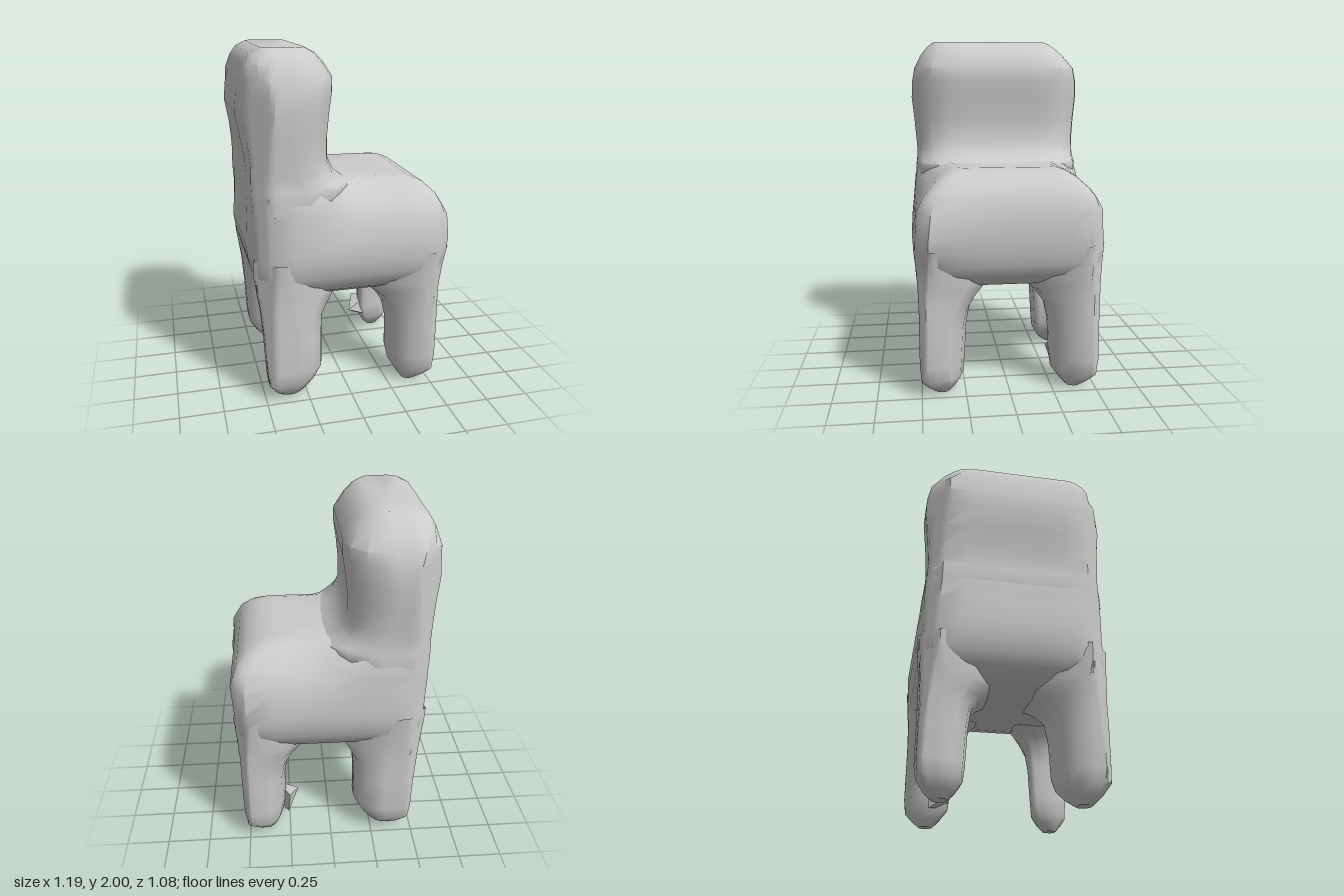
import * as THREE from 'three';
import { toCreasedNormals } from 'three/addons/utils/BufferGeometryUtils.js';

const material = new THREE.MeshStandardMaterial({ color: 0xcccccc, side: THREE.DoubleSide });
const ARC = 3, SIDE = 6;

// Distance |x| + |z| at which each vertical corner is cut diagonally
const cornerLimit = (x, z) => (x > 0 ? 1 : z > 0 ? 0.955 : 0.975);

// Rectangle with rounded corners, walking from +x towards +z.
// radii: one per corner (+x+z, -x+z, -x-z, +x-z); taper narrows z at the front of the seat.
function ringPoints({ y, x: [x0, x1], z: [z0, z1], radii, taper = 1 }) {
  const corners = radii.map((r, q) => {
    const cx = q === 0 || q === 3 ? x1 - r : x0 + r;
    const cz = q < 2 ? z1 - r : z0 + r;
    const pts = [];
    for (let i = 0; i <= ARC; i++) {
      const a = (q + i / ARC) * Math.PI / 2;
      pts.push(new THREE.Vector3(cx + r * Math.cos(a), y, cz + r * Math.sin(a)));
    }
    return pts;
  });
  const out = [];
  corners.forEach((pts, q) => {
    out.push(...pts);
    const next = corners[(q + 1) % 4][0];
    for (let i = 1; i < SIDE; i++) out.push(pts[ARC].clone().lerp(next, i / SIDE));
  });
  for (const p of out) {
    p.z *= THREE.MathUtils.lerp(1, taper, THREE.MathUtils.smoothstep(p.x, -0.2, 0.06));
    const over = Math.max(0, Math.abs(p.x) + Math.abs(p.z) - cornerLimit(p.x, p.z)) / 2;
    p.x -= Math.sign(p.x) * over;
    p.z -= Math.sign(p.z) * over;
    // One front corner of the seat is pulled out a little
    if (p.x > 0.3) p.x += 0.04 * Math.exp(-40 * ((y - 0.92) ** 2 + (p.z - 0.42) ** 2));
  }
  return out;
}

// Skin a stack of rings from bottom to top; caps lists the ends to close
function loft(name, rings, caps) {
  const loops = rings.map(ringPoints), n = loops[0].length;
  const pos = loops.flat().flatMap((p) => [p.x, p.y, p.z]), index = [];
  for (let i = 0; i < loops.length - 1; i++) {
    for (let j = 0; j < n; j++) {
      const a = i * n + j, b = i * n + (j + 1) % n;
      index.push(a, a + n, b, b, a + n, b + n);
    }
  }
  for (const cap of caps) {
    const top = cap === 'top', end = top ? loops.length - 1 : 0;
    const c = pos.length / 3, { x, y, z } = rings[end];
    pos.push((x[0] + x[1]) / 2, y - (top ? 0.015 : 0), (z[0] + z[1]) / 2);
    for (let j = 0; j < n; j++) {
      const a = end * n + j, b = end * n + (j + 1) % n;
      index.push(c, ...(top ? [b, a] : [a, b]));
    }
  }
  const g = new THREE.BufferGeometry();
  g.setAttribute('position', new THREE.Float32BufferAttribute(pos, 3));
  g.setIndex(index);
  const mesh = new THREE.Mesh(toCreasedNormals(g, 0.7), material);
  mesh.name = name;
  return mesh;
}

export function createModel() {
  const group = new THREE.Group();
  group.name = 'chair';

  // Thick seat block reaching under the backrest: y, back x, front x, half z at back, at front, radius
  group.add(loft('seat', [
    [0.595, -0.28, 0.28, 0.27, 0.27, 0.12],
    [0.62, -0.38, 0.40, 0.38, 0.38, 0.12],
    [0.66, -0.46, 0.47, 0.45, 0.45, 0.10],
    [0.70, -0.505, 0.51, 0.485, 0.485, 0.08],
    [0.76, -0.54, 0.54, 0.518, 0.518, 0.07],
    [0.84, -0.56, 0.555, 0.535, 0.535, 0.07],
    [0.92, -0.57, 0.565, 0.54, 0.54, 0.07],
    [1.06, -0.56, 0.56, 0.525, 0.515, 0.08],
    [1.12, -0.555, 0.54, 0.52, 0.485, 0.08],
    [1.17, -0.555, 0.52, 0.515, 0.45, 0.08],
    [1.23, -0.545, 0.46, 0.50, 0.385, 0.08],
    [1.26, -0.54, 0.39, 0.485, 0.335, 0.07],
    [1.275, -0.53, 0.30, 0.47, 0.28, 0.06],
  ].map(([y, x0, x1, zb, zf, r]) => (
    { y, x: [x0, x1], z: [-zb, zb], radii: [r, r, r, r], taper: zf / zb })), ['bottom', 'top']));

  // Padded backrest: y, back x, front x, right z, left z, back radius, front radius
  group.add(loft('backrest', [
    [1.13, -0.55, -0.04, -0.51, 0.51, 0.08, 0.24],
    [1.19, -0.555, 0.00, -0.51, 0.51, 0.08, 0.24],
    [1.23, -0.555, 0.03, -0.508, 0.508, 0.08, 0.25],
    [1.26, -0.553, 0.03, -0.505, 0.505, 0.08, 0.25],
    [1.285, -0.55, -0.01, -0.50, 0.50, 0.08, 0.23],
    [1.33, -0.55, -0.065, -0.50, 0.50, 0.08, 0.21],
    [1.40, -0.555, -0.10, -0.505, 0.505, 0.08, 0.20],
    [1.52, -0.575, -0.10, -0.515, 0.515, 0.09, 0.21],
    [1.66, -0.60, -0.085, -0.53, 0.53, 0.12, 0.23],
    [1.76, -0.59, -0.07, -0.525, 0.525, 0.11, 0.23],
    [1.84, -0.57, -0.07, -0.505, 0.51, 0.10, 0.21],
    [1.92, -0.55, -0.12, -0.44, 0.47, 0.12, 0.18],
    [1.97, -0.52, -0.17, -0.38, 0.43, 0.10, 0.13],
    [2.00, -0.46, -0.23, -0.33, 0.39, 0.06, 0.07],
  ].map(([y, x0, x1, z0, z1, rb, rf]) => (
    { y, x: [x0, x1], z: [z0, z1], radii: [rf, rb, rb, rf] })), ['top']));

  // Legs: y, outer x, inner x, inner z, outer z, radius of the two side corners.
  // The corners towards and away from the centre stay sharp.
  const legRows = {
    backrestLeg: [
      [0.00, 0.40, 0.30, 0.34, 0.42, 0.04],
      [0.04, 0.44, 0.25, 0.30, 0.46, 0.08],
      [0.10, 0.48, 0.20, 0.26, 0.50, 0.13],
      [0.18, 0.49, 0.15, 0.25, 0.51, 0.15],
      [0.38, 0.50, 0.15, 0.24, 0.51, 0.15],
      [0.50, 0.51, 0.14, 0.22, 0.51, 0.17],
      [0.56, 0.515, 0.10, 0.17, 0.511, 0.21],
      [0.61, 0.522, 0.05, 0.10, 0.513, 0.28],
      [0.66, 0.53, 0.00, 0.05, 0.516, 0.34],
      [0.76, 0.546, 0.00, 0.05, 0.524, 0.36],
      [0.86, 0.56, 0.00, 0.05, 0.534, 0.38],
    ],
    frontLeg: [
      [0.00, 0.43, 0.35, 0.34, 0.42, 0.04],
      [0.04, 0.47, 0.32, 0.30, 0.46, 0.09],
      [0.09, 0.51, 0.29, 0.26, 0.50, 0.16],
      [0.18, 0.525, 0.27, 0.25, 0.51, 0.19],
      [0.38, 0.53, 0.27, 0.24, 0.51, 0.19],
      [0.48, 0.53, 0.25, 0.22, 0.51, 0.20],
      [0.55, 0.53, 0.20, 0.17, 0.511, 0.24],
      [0.61, 0.533, 0.11, 0.10, 0.513, 0.32],
      [0.66, 0.538, 0.05, 0.05, 0.516, 0.36],
      [0.76, 0.545, 0.05, 0.05, 0.524, 0.37],
      [0.86, 0.555, 0.05, 0.05, 0.534, 0.38],
    ],
  };
  for (const [name, rows] of Object.entries(legRows)) {
    const sx = name === 'frontLeg' ? 1 : -1;
    for (const sz of [1, -1]) {
      group.add(loft(name + (sz > 0 ? 'Near' : 'Far'), rows.map(([y, xo, xi, zi, zo, r]) => ({
        y,
        x: sx > 0 ? [xi, xo] : [-xo, -xi],
        z: sz > 0 ? [zi, zo] : [-zo, -zi],
        radii: sx * sz > 0 ? [0.03, r, 0.03, r] : [r, 0.03, r, 0.03],
      })), ['bottom']));
    }
  }

  // Small blunt spur on the inside of one front leg
  const spur = new THREE.Mesh(
    toCreasedNormals(new THREE.ConeGeometry(0.1, 0.13, 4), 0.3), material);
  spur.name = 'legSpur';
  const dir = new THREE.Vector3(-0.8, 0, 0.6);
  spur.quaternion.setFromUnitVectors(new THREE.Vector3(0, 1, 0), dir);
  spur.position.set(0.19, 0.17, -0.25).addScaledVector(dir, -0.065);
  group.add(spur);

  return group;
}
